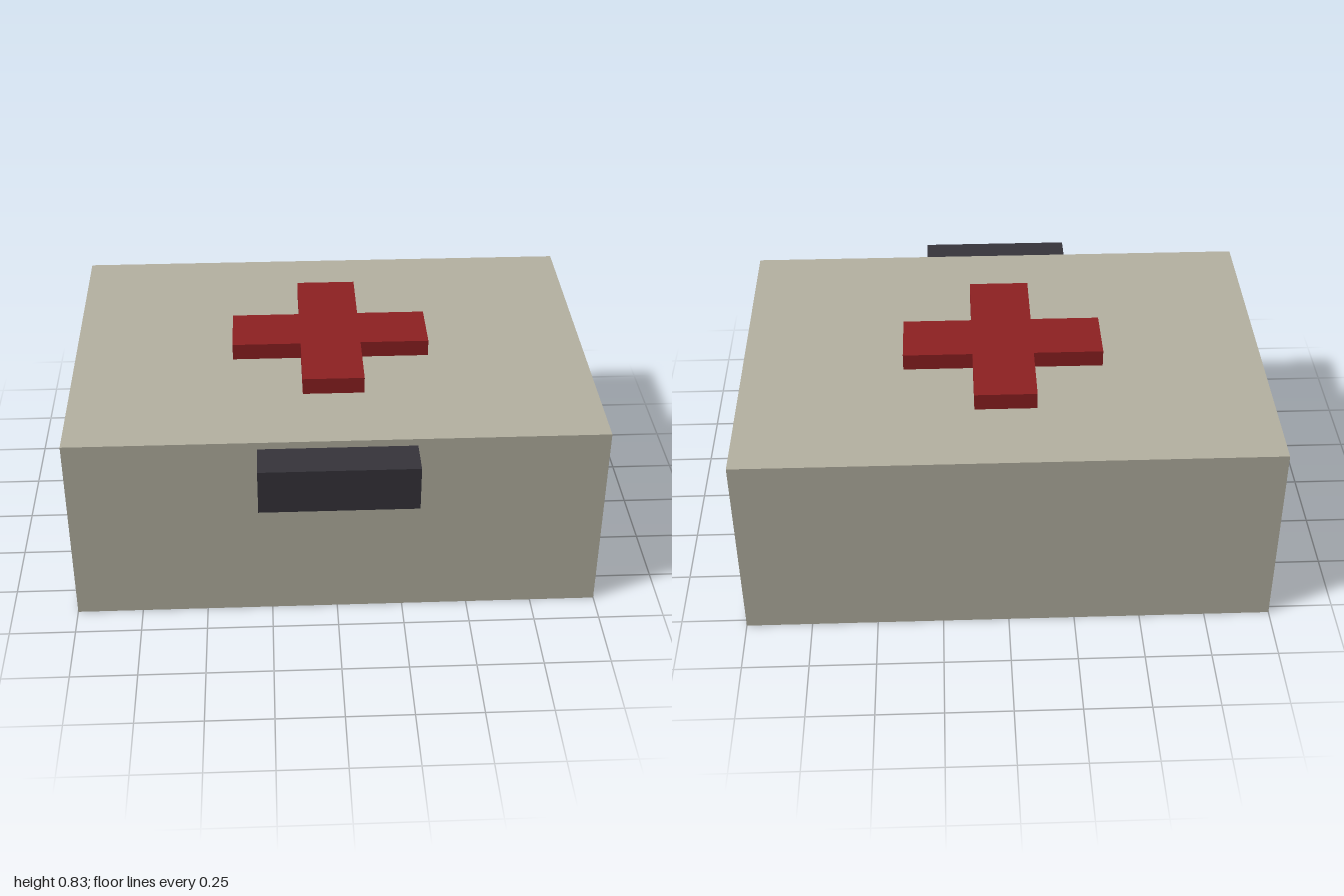
import * as THREE from 'three';

const material = (name, color) => {
  const m = new THREE.MeshStandardMaterial({ color });
  m.name = name;
  return m;
};

// Box given by its minimum and maximum corners
function box(name, mat, min, max) {
  const size = max.map((v, i) => v - min[i]);
  const mesh = new THREE.Mesh(new THREE.BoxGeometry(...size), mat);
  mesh.position.set(...max.map((v, i) => (v + min[i]) / 2));
  mesh.name = name;
  return mesh;
}

// Plus-shaped outline with four equal arms
function crossShape(reach, half) {
  const points = [];
  for (let i = 0; i < 4; i++) {
    const centre = new THREE.Vector2();
    for (const [x, y] of [[reach, -half], [reach, half], [half, half]]) {
      points.push(new THREE.Vector2(x, y).rotateAround(centre, i * Math.PI / 2));
    }
  }
  return new THREE.Shape(points);
}

export function createModel() {
  const model = new THREE.Group();
  model.name = 'firstAidBox';
  const beige = material('warmGrey', 0xb5b2a2);
  const red = material('darkRed', 0x8e2022);
  const dark = material('charcoal', 0x36343b);

  // Case and front handle
  model.add(box('case', beige, [-1, 0, -0.78], [1, 0.765, 0.632]));
  model.add(box('handle', dark, [-0.293, 0.562, 0.632], [0.293, 0.737, 0.78]));

  // Raised cross on the lid
  const geometry = new THREE.ExtrudeGeometry(crossShape(0.383, 0.117), { depth: 0.065, bevelEnabled: false });
  geometry.rotateX(-Math.PI / 2);
  const cross = new THREE.Mesh(geometry, red);
  cross.position.set(0, 0.765, -0.076);
  cross.name = 'lidCross';
  model.add(cross);

  return model;
}
